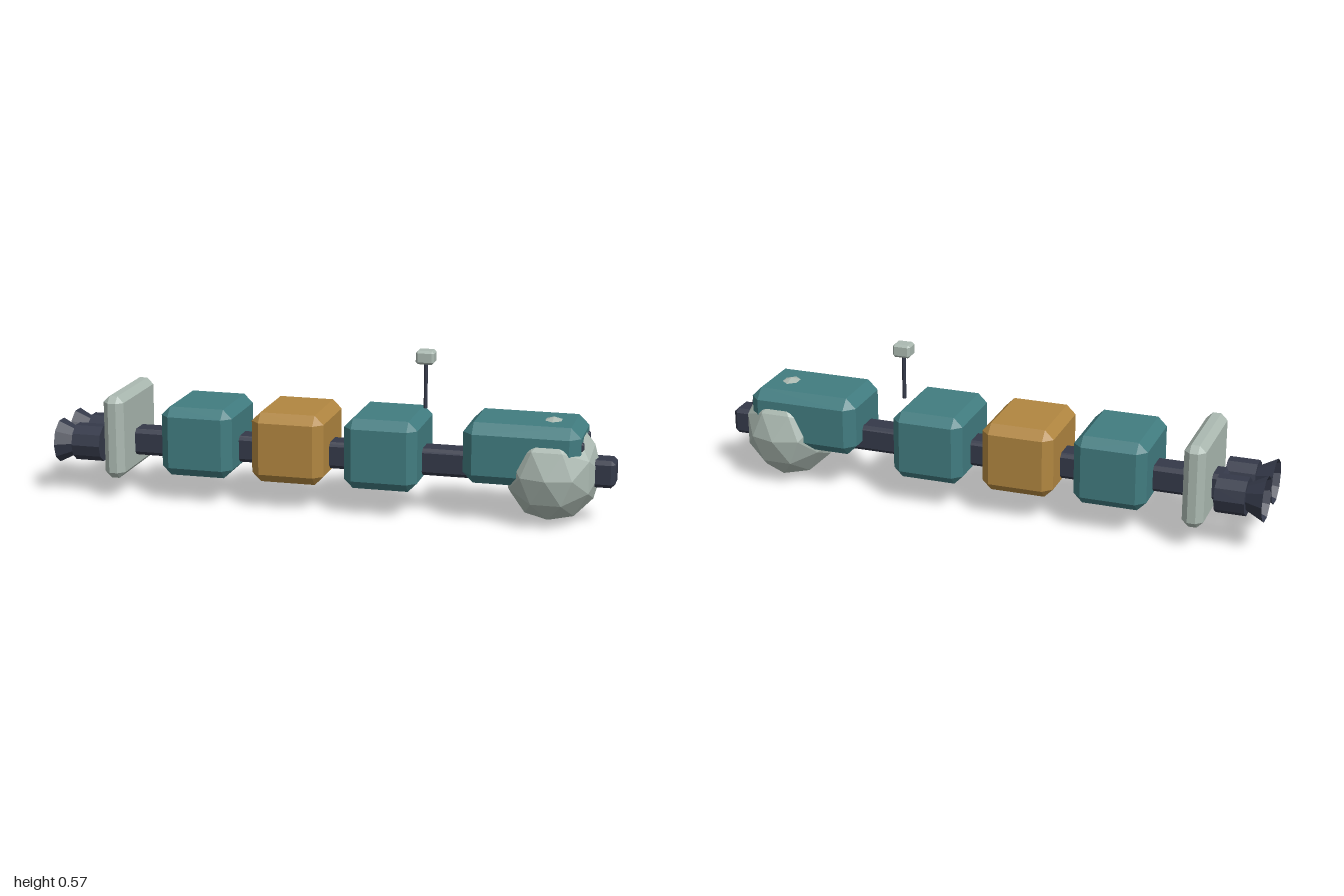
import * as THREE from 'three';
import { ConvexGeometry } from 'three/addons/geometries/ConvexGeometry.js';

const mat = (name, color, side = THREE.FrontSide) => {
  const m = new THREE.MeshStandardMaterial({ color, flatShading: true, side });
  m.name = name;
  return m;
};

// Box with flat bevels: three shrunken copies of each corner, wrapped in a hull
function bevelBox(w, h, d, c) {
  const pts = [];
  for (const sx of [-1, 1]) for (const sy of [-1, 1]) for (const sz of [-1, 1]) {
    const x = w / 2, y = h / 2, z = d / 2;
    pts.push(
      new THREE.Vector3(sx * x, sy * (y - c), sz * (z - c)),
      new THREE.Vector3(sx * (x - c), sy * y, sz * (z - c)),
      new THREE.Vector3(sx * (x - c), sy * (y - c), sz * z));
  }
  return new ConvexGeometry(pts);
}

export function createModel() {
  const model = new THREE.Group();
  model.name = 'spaceship';
  const teal = mat('teal hull', 0x417c80);
  const gold = mat('gold', 0xb18640);
  const pale = mat('pale grey', 0xabb9b1);
  const dark = mat('dark metal', 0x343949, THREE.DoubleSide);

  const add = (name, geometry, material, x, y, z) => {
    const mesh = new THREE.Mesh(geometry, material);
    mesh.name = name;
    mesh.position.set(x, y, z);
    model.add(mesh);
    return mesh;
  };

  // Central beam, ending in the docking nose
  add('spine', bevelBox(1.85, 0.096, 0.096, 0.014), dark, 0.075, 0.187, 0);

  // Cargo modules along the spine
  [teal, gold, teal].forEach((m, i) =>
    add('cargoModule', bevelBox(0.26, 0.25, 0.315, 0.032), m, -0.467 + i * 0.3335, 0.225, 0));

  // Command section with faceted round bow
  add('commandHull', bevelBox(0.405, 0.215, 0.274, 0.036), teal, 0.687, 0.251, 0);
  const bow = add('bowSphere', new THREE.IcosahedronGeometry(0.184, 1).rotateX(Math.PI / 2), pale, 0.78, 0.186, 0);
  bow.scale.x = 0.92;
  for (const s of [-1, 1]) {
    add('bowWindow', bevelBox(0.03, 0.03, 0.028, 0.006), dark, 0.882, 0.29, s * 0.082);
  }

  // Shield plate ahead of the engines
  add('shieldPlate', bevelBox(0.075, 0.3, 0.353, 0.023), pale, -0.767, 0.231, 0);

  // Twin engines: body, flared nozzle and glowing core
  for (const s of [-1, 1]) {
    const z = s * 0.077;
    add('engineBody', new THREE.CylinderGeometry(0.067, 0.067, 0.105, 10).rotateZ(Math.PI / 2), dark, -0.885, 0.187, z);
    add('engineNozzle', new THREE.CylinderGeometry(0.046, 0.08, 0.066, 10, 1, true).rotateZ(-Math.PI / 2), dark, -0.967, 0.187, z);
    add('engineGlow', new THREE.CylinderGeometry(0.026, 0.026, 0.008, 8).rotateZ(Math.PI / 2), gold, -0.941, 0.187, z);
  }

  // Antenna
  add('antennaMast', new THREE.CylinderGeometry(0.007, 0.007, 0.165, 6), dark, 0.323, 0.445, -0.035);
  add('antennaHead', bevelBox(0.065, 0.048, 0.056, 0.008), pale, 0.323, 0.546, -0.035);

  return model;
}
